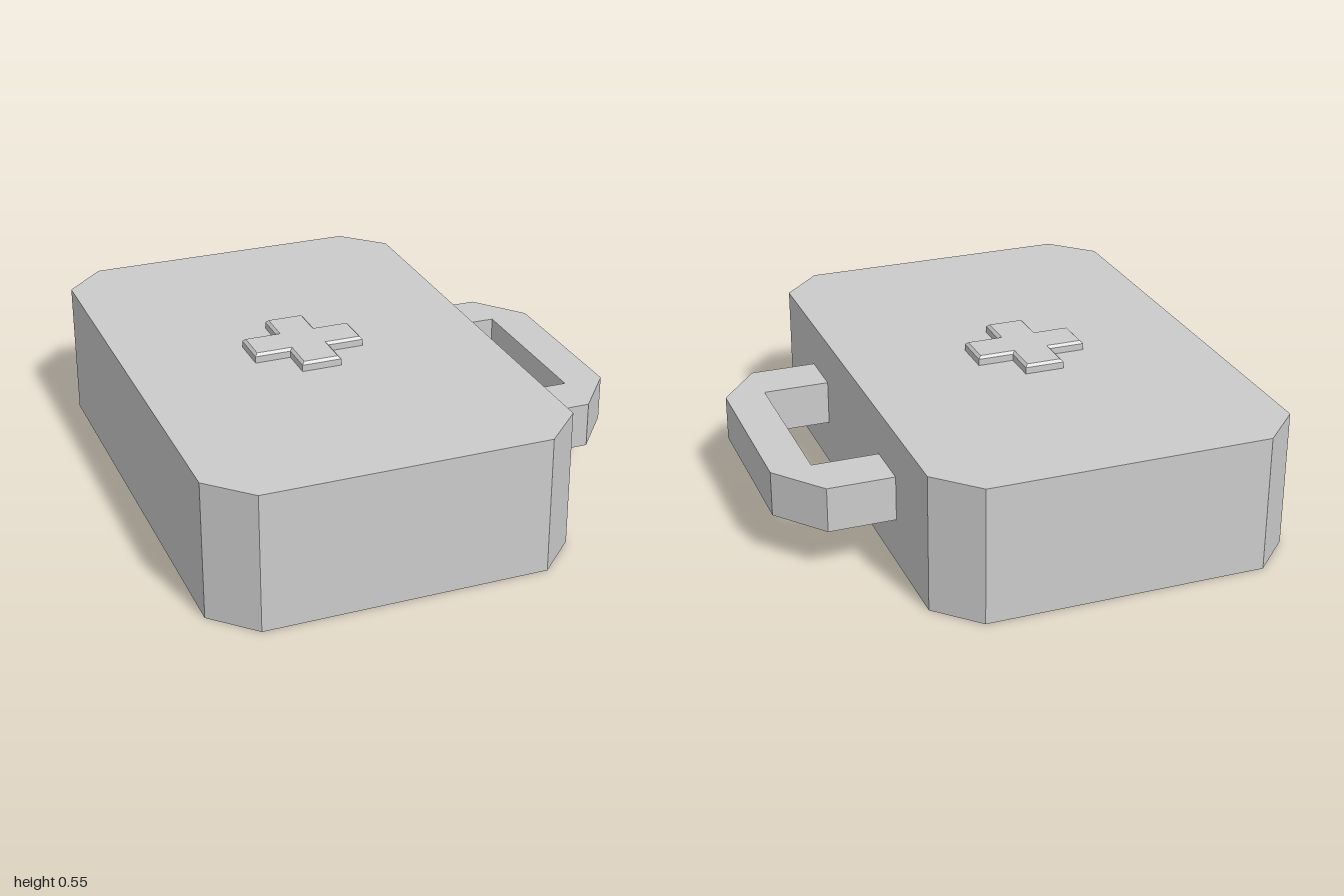
import * as THREE from 'three';

const material = new THREE.MeshStandardMaterial({ color: 0xcccccc, flatShading: true });

// Extrudes a plan outline of [x, z] points upwards from height y
function slab(name, outline, y, height, bevel = 0) {
  const shape = new THREE.Shape(outline.map(([x, z]) => new THREE.Vector2(x, -z)));
  const geometry = new THREE.ExtrudeGeometry(shape, {
    depth: height - bevel,
    bevelEnabled: bevel > 0,
    bevelSize: bevel,
    bevelThickness: bevel,
    bevelOffset: -bevel,
    bevelSegments: 1,
  });
  geometry.rotateX(-Math.PI / 2).translate(0, y, 0);
  const mesh = new THREE.Mesh(geometry, material);
  mesh.name = name;
  return mesh;
}

// Completes a half outline (z >= 0) with its mirror image across z = 0
const mirrorZ = (half) => [...half, ...half.map(([x, z]) => [x, -z]).reverse()];

export function createModel() {
  const group = new THREE.Group();
  group.name = 'firstAidCase';

  // Case body with cut corners
  const left = 0.475, right = -0.875, cut = 0.15;
  group.add(slab('caseBody', mirrorZ([
    [left, 0.85], [left - cut, 1], [right + cut, 1], [right, 0.85],
  ]), 0, 0.515));

  // Carrying handle, open towards the case
  group.add(slab('handle', mirrorZ([
    [left, 0.32], [left, 0.51], [0.725, 0.51], [0.875, 0.325],
  ]).concat([[left, -0.32], [0.725, -0.32], [0.725, 0.32]]).filter(
    // the inner corners are listed once, closing the loop on the inside
    ([x, z], i, all) => all.findIndex((p) => p[0] === x && p[1] === z) === i,
  ), 0.175, 0.17));

  // Raised cross on the lid with a bevelled top edge
  const arm = 0.21, w = 0.075;
  const cross = slab('cross', mirrorZ([
    [arm, w], [w, w], [w, arm - 0.005], [-w, arm - 0.005], [-w, w], [-arm, w],
  ]), 0.515, 0.035, 0.01);
  cross.position.set(-0.205, 0, -0.01);
  group.add(cross);

  return group;
}
